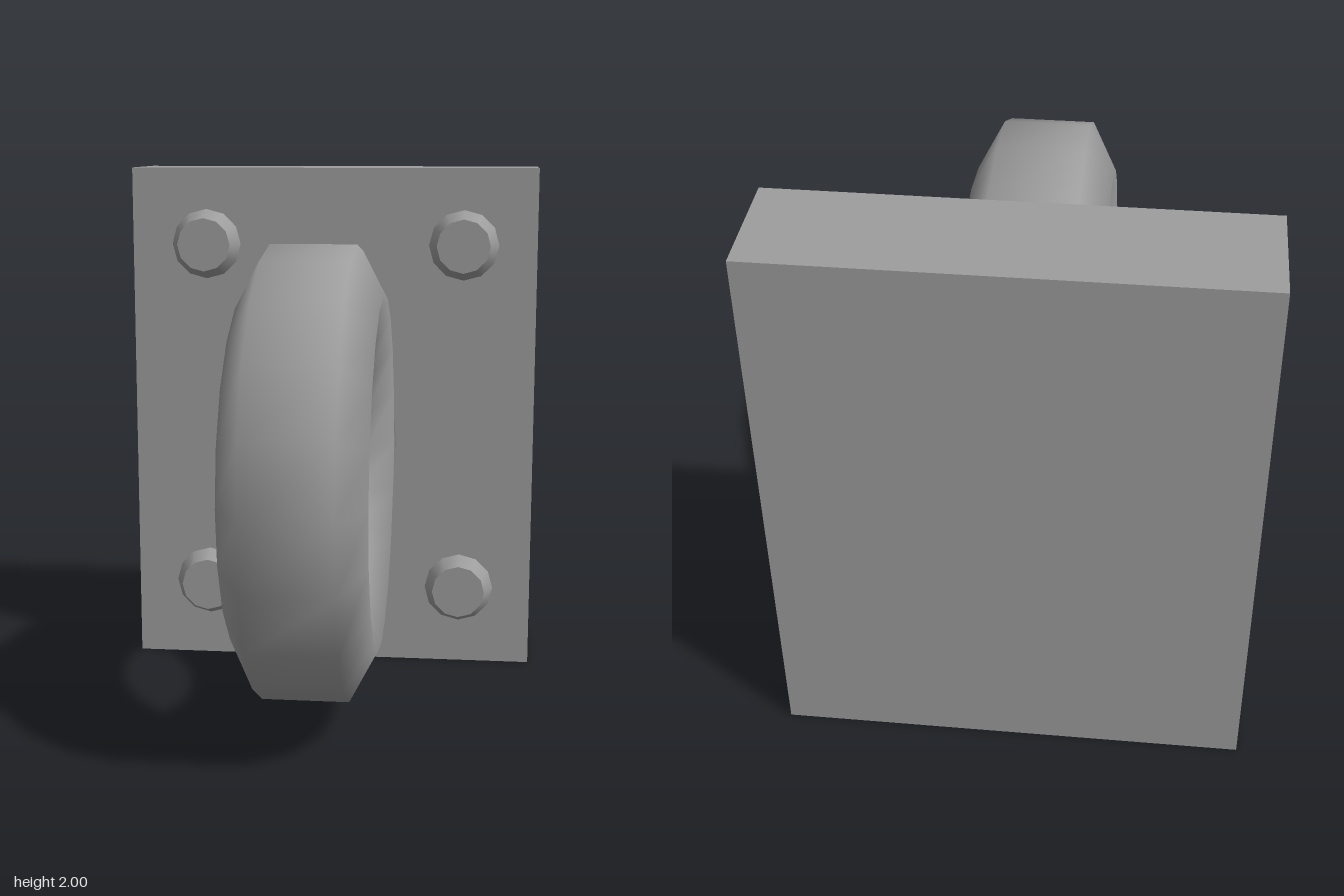
import * as THREE from 'three';

const material = new THREE.MeshStandardMaterial({ color: 0x9d9d9d });

// Ring with a six-sided section; its back flares into a neck meeting the plate
function ringGeometry() {
  const sides = 20, cy = 0.933, cz = 0.16;
  // section corners: [x, radius from the ring centre]
  const section = [
    [0.249, 0.638], [0.155, 0.816], [-0.155, 0.816],
    [-0.249, 0.638], [-0.155, 0.445], [0.155, 0.445],
  ];
  const n = section.length, positions = [], index = [];
  for (let i = 0; i < sides; i++) {
    const a = (i / sides) * Math.PI * 2;
    const fromBack = Math.abs(i - sides / 2); // steps away from the plate side
    const up = i < sides / 2;
    section.forEach(([sx, r], k) => {
      let x = sx, y = cy + r * Math.sin(a), z = cz + r * Math.cos(a);
      if ((k === 1 || k === 2) && fromBack <= 2) {
        const s = Math.sign(sx);
        if (fromBack === 2) {
          y = cy + (up ? 0.557 : -0.553);
          z = -0.5;
        } else {
          x = s * (fromBack === 1 ? 0.2 : 0.249);
          if (fromBack === 1) y = cy + (up ? 0.55 : -0.47);
          z = -0.6;
        }
      }
      positions.push(x + 0.006, y, z);
      const i2 = (i + 1) % sides, k2 = (k + 1) % n;
      const p = i * n + k, q = i2 * n + k, t = i2 * n + k2, u = i * n + k2;
      index.push(p, q, u, q, t, u);
    });
  }
  const geometry = new THREE.BufferGeometry();
  geometry.setAttribute('position', new THREE.Float32BufferAttribute(positions, 3));
  geometry.setIndex(index);
  geometry.computeVertexNormals();
  return geometry;
}

export function createModel() {
  const model = new THREE.Group();
  const add = (name, geometry, x, y, z) => {
    const mesh = new THREE.Mesh(geometry, material);
    mesh.name = name;
    mesh.position.set(x, y, z);
    model.add(mesh);
  };

  // Wall plate
  add('wallPlate', new THREE.BoxGeometry(1.61, 2, 0.4), 0, 1, -0.775);

  // Ring and neck
  add('ring', ringGeometry(), 0, 0, 0);

  // Four tapered bolt heads
  const bolt = new THREE.CylinderGeometry(0.105, 0.14, 0.08, 12);
  bolt.rotateX(Math.PI / 2);
  for (const x of [-0.508, 0.518])
    for (const y of [0.31, 1.7]) add('boltHead', bolt, x, y, -0.54);

  return model;
}
